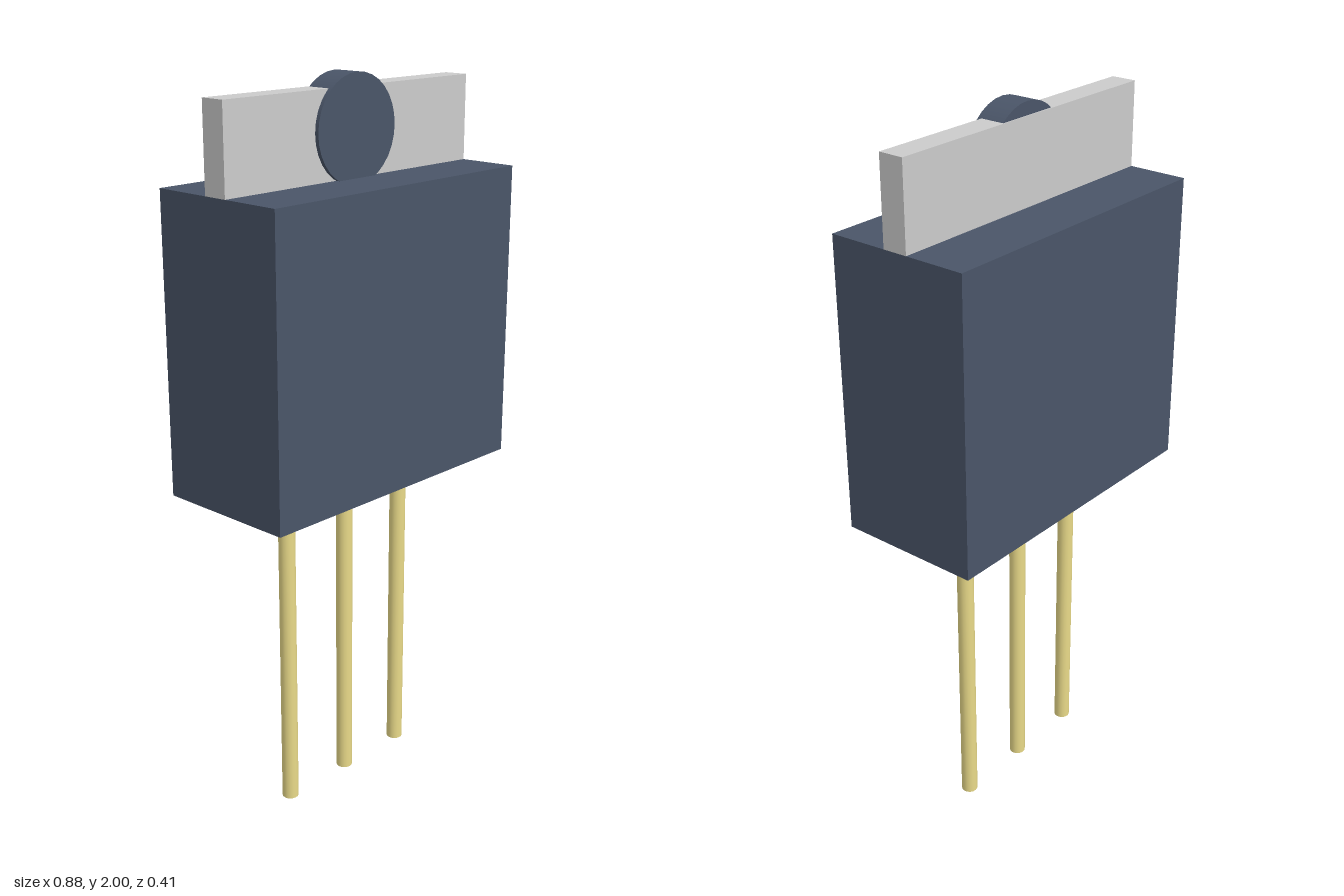
import * as THREE from 'three';

export function createModel() {
  const model = new THREE.Group();
  model.name = 'threePinComponent';

  const slate = new THREE.MeshStandardMaterial({ color: 0x4a5568 });
  const grey = new THREE.MeshStandardMaterial({ color: 0xcccccc });
  const gold = new THREE.MeshStandardMaterial({ color: 0xe9da89 });

  const add = (name, geometry, material, x, y, z) => {
    const mesh = new THREE.Mesh(geometry, material);
    mesh.name = name;
    mesh.position.set(x, y, z);
    model.add(mesh);
    return mesh;
  };

  // Block-shaped housing
  const bottom = 0.93, top = 1.737;
  add('body', new THREE.BoxGeometry(0.88, top - bottom, 0.405), slate, 0, (bottom + top) / 2, 0);

  // Upright mounting tab on top of the housing
  const tabTop = 1.965;
  add('mountingTab', new THREE.BoxGeometry(0.88, tabTop - top, 0.07), grey, 0, (tabTop + top) / 2, 0);

  // Disc set through the tab, standing proud of its front
  const disc = new THREE.CylinderGeometry(0.14, 0.14, 0.078, 32);
  disc.rotateX(Math.PI / 2);
  add('mountingDisc', disc, slate, 0, 1.86, 0.007);

  // Three round leads below
  const lead = new THREE.CylinderGeometry(0.023, 0.023, bottom, 16);
  ['rightLead', 'centreLead', 'leftLead'].forEach((name, i) => {
    add(name, lead, gold, (i - 1) * 0.223, bottom / 2, 0);
  });

  return model;
}
